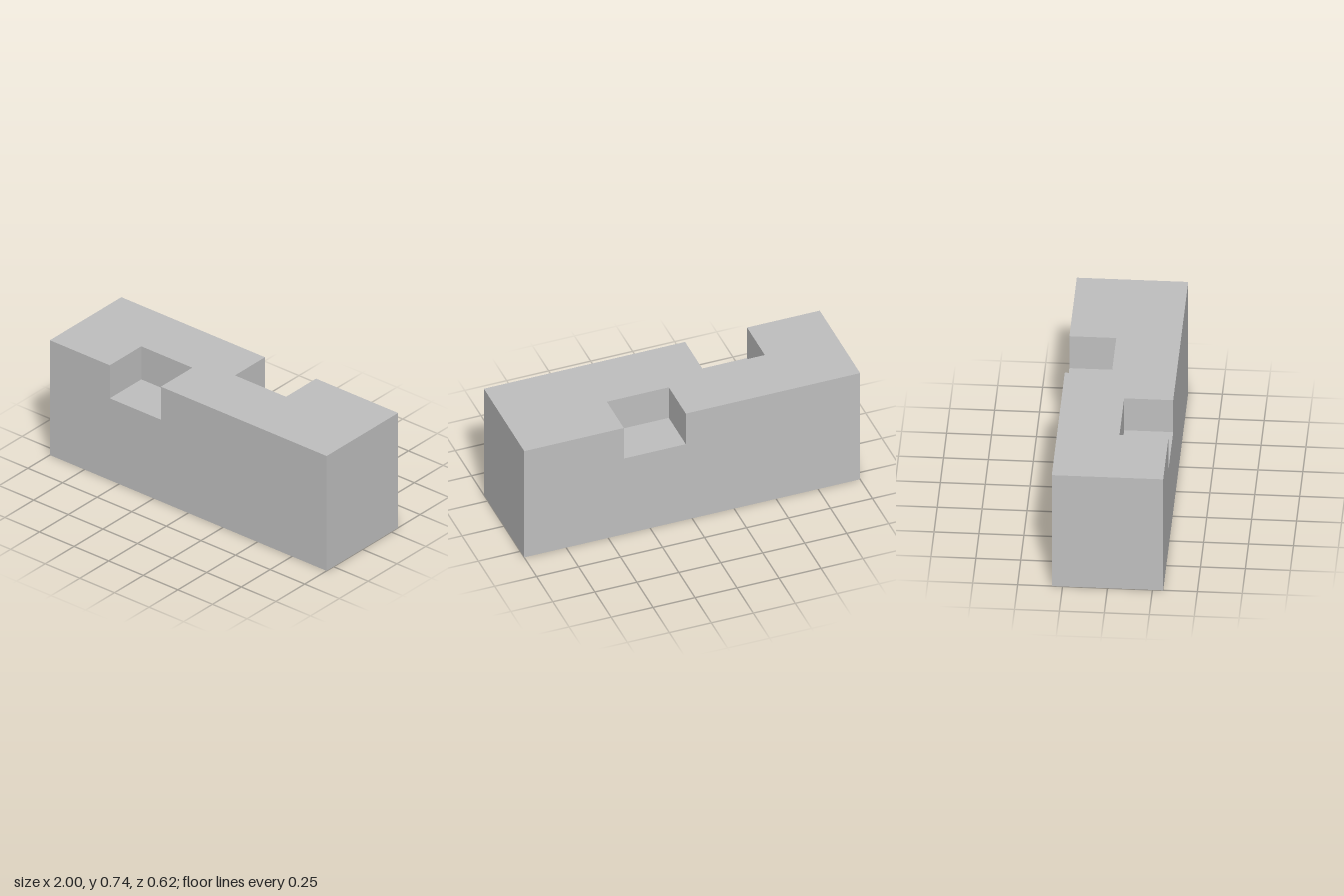
import * as THREE from 'three';

const H = 0.737, D = 0.31, T = 0.01, FLOOR = 0.525;
// Each notch: x range, inner z, and the long side it opens on
const NOTCHES = [
  { name: 'front', x0: -0.567, x1: -0.198, z: 0.037, s: 1 },
  { name: 'back', x0: 0.038, x1: 0.407, z: -0.049, s: -1 },
];

export function createModel() {
  const group = new THREE.Group();
  const grey = new THREE.MeshStandardMaterial({ color: 0xbfbfbf });
  grey.name = 'plain grey';

  const add = (name, geometry) => {
    const mesh = new THREE.Mesh(geometry, grey);
    mesh.name = name;
    group.add(mesh);
  };
  // Box given by its two extreme corners
  const plate = (name, xa, xb, ya, yb, za, zb) => {
    const g = new THREE.BoxGeometry(xb - xa, yb - ya, Math.abs(zb - za));
    add(name, g.translate((xa + xb) / 2, (ya + yb) / 2, (za + zb) / 2));
  };
  const sheet = (points) => new THREE.ExtrudeGeometry(
    new THREE.Shape(points.map(([x, y]) => new THREE.Vector2(x, y))),
    { depth: T, bevelEnabled: false });

  for (const { name, x0, x1, z, s } of NOTCHES) {
    // Long wall with its notch cut from the top edge
    const wall = sheet([[-1, 0], [1, 0], [1, H], [x1, H], [x1, FLOOR], [x0, FLOOR], [x0, H], [-1, H]]);
    add(name + 'Wall', wall.translate(0, 0, s > 0 ? D - T : -D));

    // Pocket lining the notch
    const rim = s * (D - T), top = H - T, low = FLOOR - T;
    plate(name + 'NotchFloor', x0, x1, low, FLOOR, z, rim);
    plate(name + 'NotchInnerWall', x0 - T, x1 + T, low, top, z - s * T, z);
    plate(name + 'NotchSideRight', x0 - T, x0, low, top, z, rim);
    plate(name + 'NotchSideLeft', x1, x1 + T, low, top, z, rim);
  }

  // End walls
  plate('leftEnd', 1 - T, 1, 0, H, -D + T, D - T);
  plate('rightEnd', -1, -1 + T, 0, H, -D + T, D - T);

  // Roof sheet with both notches cut out; the underside of the shell stays open
  const [f, b] = NOTCHES, e = 1 - T, w = D - T;
  const roof = sheet([
    [-e, -w], [f.x0, -w], [f.x0, -f.z], [f.x1, -f.z], [f.x1, -w], [e, -w],
    [e, w], [b.x1, w], [b.x1, -b.z], [b.x0, -b.z], [b.x0, w], [-e, w],
  ]);
  add('roof', roof.rotateX(-Math.PI / 2).translate(0, H - T, 0));

  return group;
}
